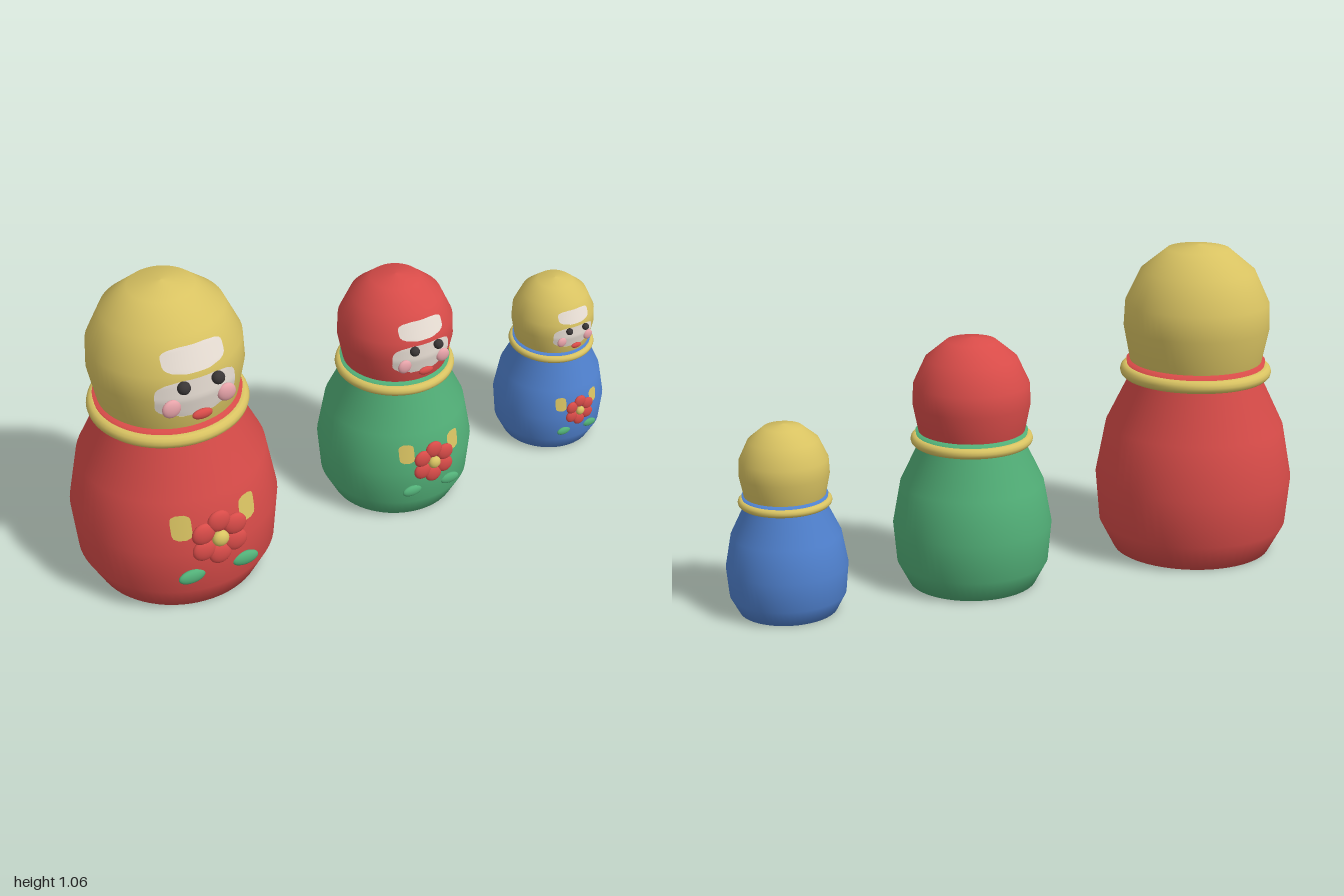
import * as THREE from 'three';

const mat = (name, color) => {
  const m = new THREE.MeshStandardMaterial({ color });
  m.name = name;
  return m;
};

// Half profiles [radius, height] of the largest doll
const BODY = [[0, 0], [0.27, 0], [0.32, 0.095], [0.335, 0.26], [0.302, 0.44], [0.225, 0.6], [0.235, 0.664], [0, 0.664]];
const HEAD = [[0.2, 0.61], [0.222, 0.66], [0.246, 0.78], [0.242, 0.865], [0.192, 0.973], [0.105, 1.045], [0, 1.06]];

function radiusAt(profile, y) {
  for (let i = 1; i < profile.length; i++) {
    const [r0, y0] = profile[i - 1], [r1, y1] = profile[i];
    if (y1 > y0 && y >= y0 && y <= y1) return r0 + (r1 - r0) * (y - y0) / (y1 - y0);
  }
  return 0;
}

const turned = (profile) => new THREE.LatheGeometry(profile.map(([r, y]) => new THREE.Vector2(r, y)), 64);

// Thin painted patch that hugs the front of a turned surface, with rounded corners
function paintedPatch(profile, cx, halfWidth, y0, y1, roundness) {
  const cols = 12, rows = 12, pos = [], idx = [];
  for (let j = 0; j <= rows; j++) {
    const t = j / rows, y = y0 + (y1 - y0) * t;
    const w = halfWidth * Math.pow(1 - Math.pow(Math.abs(2 * t - 1), roundness) * 0.85, 0.5);
    const r = radiusAt(profile, y) + 0.004;
    for (let i = 0; i <= cols; i++) {
      const x = cx + w * (2 * i / cols - 1);
      pos.push(x, y, Math.sqrt(r * r - x * x));
      if (i < cols && j < rows) {
        const a = j * (cols + 1) + i, b = a + cols + 1;
        idx.push(a, a + 1, b, a + 1, b + 1, b);
      }
    }
  }
  const g = new THREE.BufferGeometry();
  g.setAttribute('position', new THREE.Float32BufferAttribute(pos, 3));
  g.setIndex(idx);
  g.computeVertexNormals();
  return g;
}

function createDoll(name, m, bodyMat, headMat) {
  const doll = new THREE.Group();
  doll.name = name;
  const add = (part, geometry, material) => {
    const mesh = new THREE.Mesh(geometry, material);
    mesh.name = part;
    doll.add(mesh);
    return mesh;
  };
  const ball = new THREE.SphereGeometry(1, 20, 14);
  const bead = (part, material, p, s) => {
    const mesh = add(part, ball, material);
    mesh.position.set(...p);
    mesh.scale.set(...s);
  };

  add('body', turned(BODY), bodyMat);
  add('head', turned(HEAD), headMat);
  const collar = add('collar', new THREE.TorusGeometry(0.234, 0.022, 12, 64), m.yellow);
  collar.rotation.x = Math.PI / 2;
  collar.position.y = 0.627;

  // Face
  add('forehead', paintedPatch(HEAD, 0, 0.103, 0.87, 0.947, 4), m.cream);
  add('face', paintedPatch(HEAD, 0, 0.135, 0.715, 0.85, 4), m.cream);
  for (const side of [-1, 1]) {
    bead('eye', m.dark, [side * 0.057, 0.837, 0.258], [0.021, 0.021, 0.02]);
    bead('cheek', m.pink, [side * 0.092, 0.76, 0.237], [0.031, 0.031, 0.014]);
  }
  bead('mouth', m.red, [0, 0.723, 0.256], [0.034, 0.017, 0.012]);

  // Flower with leaves and side blooms
  for (let i = 0; i < 6; i++) {
    const a = Math.PI / 2 + i * Math.PI / 3;
    bead('petal', m.red, [Math.cos(a) * 0.063, 0.3 + Math.sin(a) * 0.063, 0.335], [0.039, 0.039, 0.017]);
  }
  bead('flowerCentre', m.yellow, [0, 0.3, 0.343], [0.028, 0.028, 0.02]);
  for (const side of [-1, 1]) {
    add('sideBloom', paintedPatch(BODY, side * 0.113, 0.031, 0.31, 0.397, 6), m.yellow);
    bead('leaf', m.green, [side * 0.093, 0.165, 0.318], [0.046, 0.025, 0.015]);
  }
  return doll;
}

export function createModel() {
  const m = {
    red: mat('red', 0xd94c49),
    yellow: mat('yellow', 0xd9c362),
    green: mat('green', 0x52b078),
    blue: mat('blue', 0x5082d0),
    cream: mat('cream', 0xeae0d6),
    pink: mat('pink', 0xe8a4aa),
    dark: mat('dark', 0x3a3636),
  };
  const group = new THREE.Group();
  group.name = 'nestingDolls';
  const dolls = [
    ['largeDoll', -0.665, 1, m.red, m.yellow],
    ['mediumDoll', 0.162, 0.78, m.green, m.red],
    ['smallDoll', 0.802, 0.58, m.blue, m.yellow],
  ];
  for (const [name, x, size, bodyMat, headMat] of dolls) {
    const doll = createDoll(name, m, bodyMat, headMat);
    doll.position.set(x, 0, -0.01);
    doll.scale.setScalar(size);
    group.add(doll);
  }
  return group;
}
